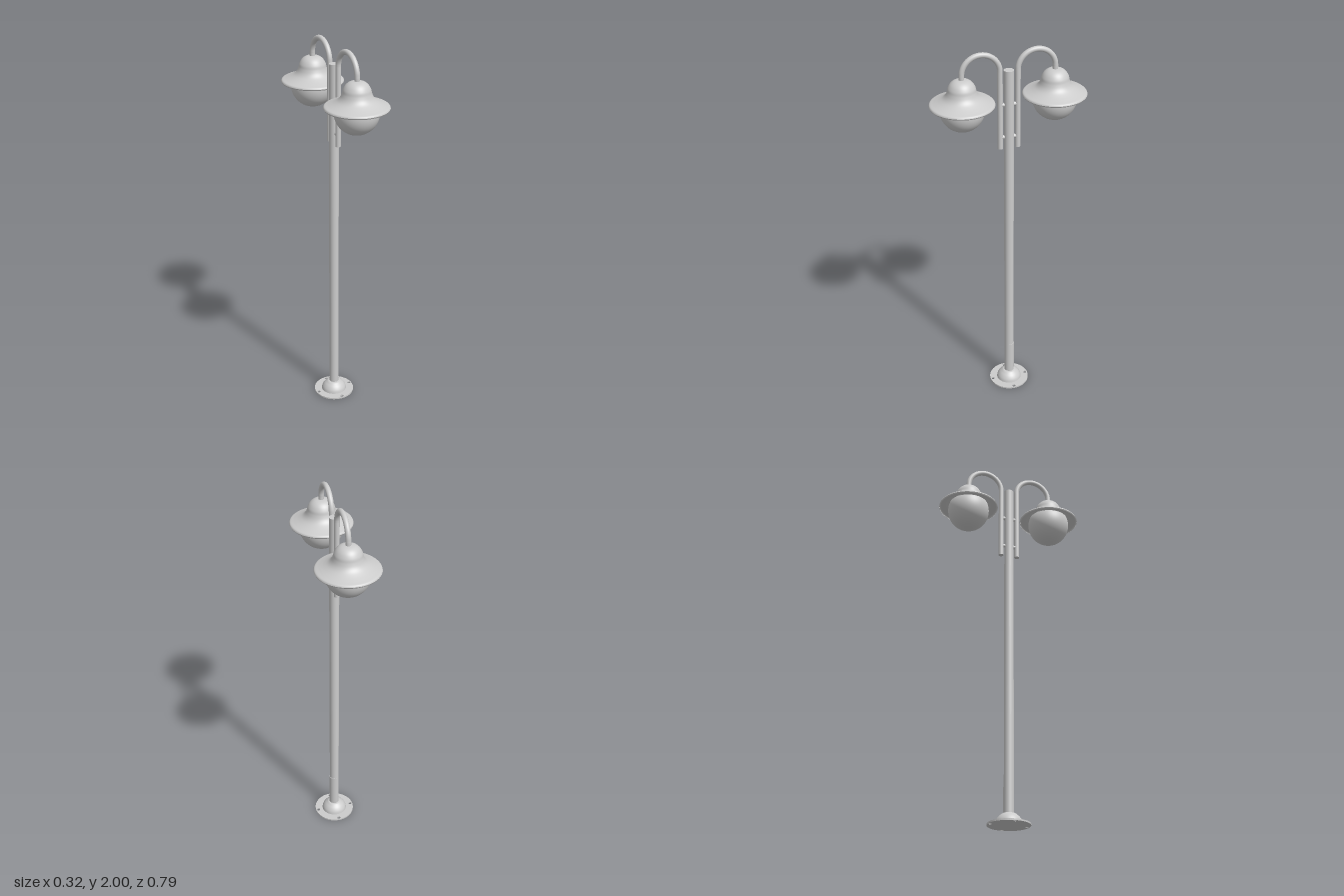
import * as THREE from 'three';

export function createModel() {
  const model = new THREE.Group();
  const metal = new THREE.MeshStandardMaterial({ color: 0xcccccc });
  metal.name = 'paleGrey';
  const metalOpen = metal;

  function add(parent, name, geometry, x = 0, y = 0, z = 0) {
    const mesh = new THREE.Mesh(geometry, metalOpen);
    mesh.name = name;
    mesh.position.set(x, y, z);
    parent.add(mesh);
    return mesh;
  }
  const points = (list) => list.map(([x, y]) => new THREE.Vector2(x, y));

  // Round foot plate with four bolt holes
  const plate = new THREE.Shape();
  plate.absarc(0, 0, 0.108, 0, Math.PI * 2);
  for (let i = 0; i < 4; i++) {
    const a = (i * Math.PI) / 2;
    const hole = new THREE.Path();
    hole.absarc(0.095 * Math.cos(a), 0.095 * Math.sin(a), 0.009, 0, Math.PI * 2, true);
    plate.holes.push(hole);
  }
  const plateGeometry = new THREE.ExtrudeGeometry(plate, { depth: 0.008, bevelEnabled: false, curveSegments: 32 });
  plateGeometry.rotateX(-Math.PI / 2);
  add(model, 'footPlate', plateGeometry);

  // Bell-shaped collar around the pole foot
  const collar = new THREE.SplineCurve(points([
    [0.068, 0.007], [0.064, 0.024], [0.054, 0.04], [0.042, 0.051], [0.034, 0.057], [0.025, 0.059],
  ]));
  add(model, 'footCollar', new THREE.LatheGeometry(collar.getPoints(20), 48));

  // Pole and its small access door
  add(model, 'pole', new THREE.CylinderGeometry(0.025, 0.025, 1.889, 40), 0, 0.9505, 0);
  add(model, 'accessDoor', new THREE.CylinderGeometry(0.0275, 0.0275, 0.19, 16, 1, false, Math.PI / 2 - 0.2, Math.PI / 2 + 0.4), 0, 0.155, 0);

  // Shade profile: outer skin from the rim up, inner skin back down
  const outer = new THREE.SplineCurve(points([
    [0.16, 1.745], [0.155, 1.753], [0.136, 1.76], [0.112, 1.77], [0.092, 1.782], [0.079, 1.797],
    [0.071, 1.816], [0.066, 1.836], [0.053, 1.857], [0.032, 1.871], [0, 1.876],
  ])).getPoints(50);
  const inner = outer.map((p) => new THREE.Vector2(Math.max(0, p.x - 0.003), p.y - 0.006)).reverse();
  inner[0].x = 0;
  const shadeGeometry = new THREE.LatheGeometry(outer, 64);
  const liningGeometry = new THREE.LatheGeometry([...inner, outer[0].clone()], 64);

  // Glass ball, trimmed where the shade covers it
  const globeGeometry = new THREE.SphereGeometry(0.111, 48, 32, 0, Math.PI * 2, 1.21, Math.PI - 1.21);

  // Swan-neck path: straight stem, half circle, short drop into the shade
  const stemZ = 0.045, lampZ = 0.234, springY = 1.892;
  const bend = (lampZ - stemZ) / 2;
  const path = new THREE.CurvePath();
  const at = (y, z) => new THREE.Vector3(0, y, z);
  path.add(new THREE.LineCurve3(at(1.482, stemZ), at(springY, stemZ)));
  const arc = [];
  for (let i = 0; i <= 16; i++) {
    const a = Math.PI * (1 - i / 16);
    arc.push(at(springY + bend * Math.sin(a), stemZ + bend + bend * Math.cos(a)));
  }
  path.add(new THREE.CatmullRomCurve3(arc));
  path.add(new THREE.LineCurve3(at(springY, lampZ), at(1.868, lampZ)));
  const armGeometry = new THREE.TubeGeometry(path, 150, 0.0135, 20);

  for (const [side, turn] of [['front', 0], ['back', Math.PI]]) {
    const lamp = new THREE.Group();
    lamp.name = side + 'Lamp';
    lamp.rotation.y = turn;
    model.add(lamp);
    add(lamp, 'arm', armGeometry);
    const end = add(lamp, 'armEndCap', new THREE.CircleGeometry(0.0135, 20), 0, 1.482, stemZ);
    end.rotation.x = Math.PI / 2;
    add(lamp, 'shade', shadeGeometry, 0, 0, lampZ);
    add(lamp, 'shadeLining', liningGeometry, 0, 0, lampZ);
    add(lamp, 'globe', globeGeometry, 0, 1.722, lampZ);
    // Bolted spacers between pole and arm
    for (const y of [1.717, 1.543]) {
      const spacer = add(lamp, 'spacer', new THREE.CylinderGeometry(0.01, 0.01, 0.02, 20), 0, y, 0.03);
      spacer.rotation.x = Math.PI / 2;
    }
  }
  return model;
}
